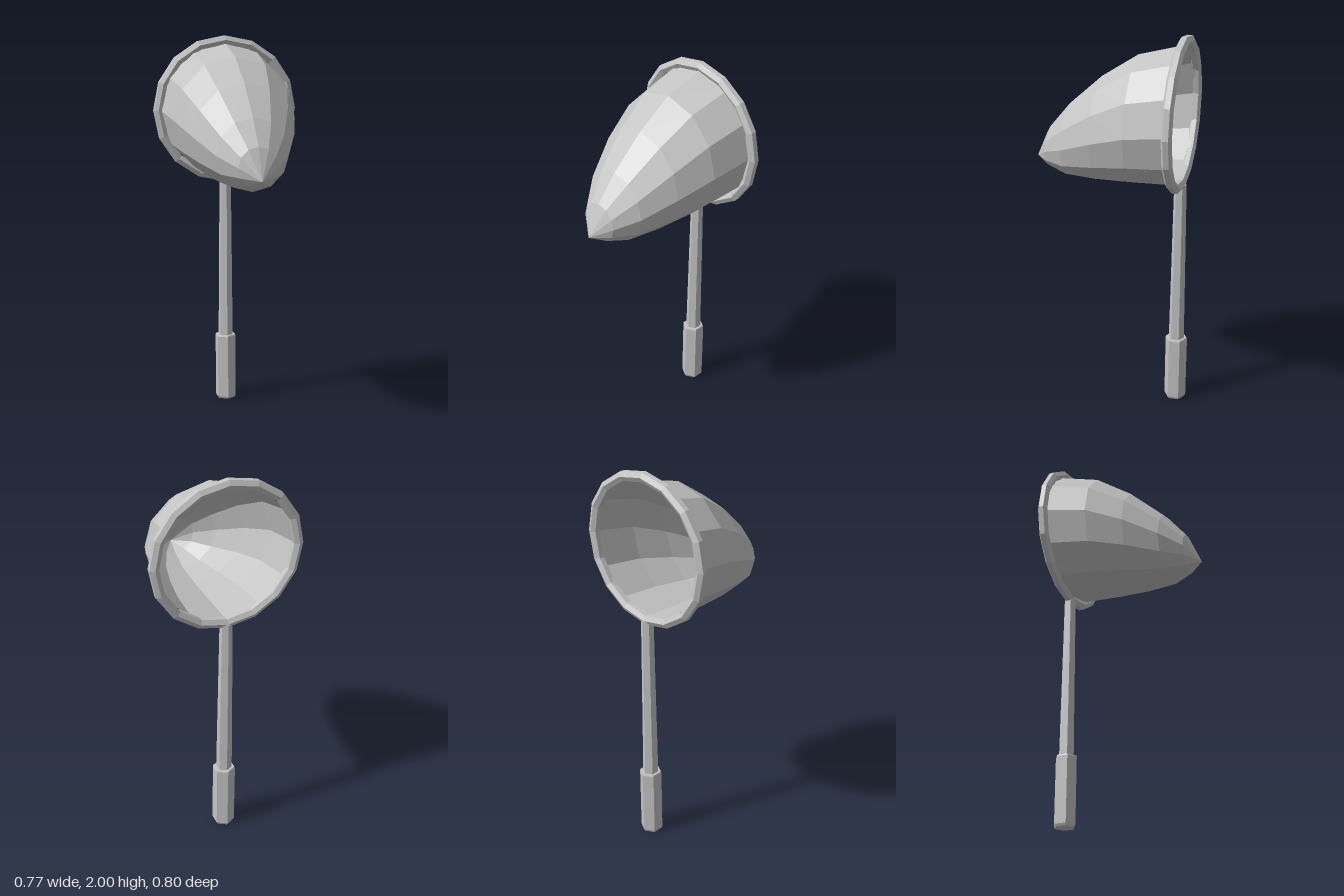
import * as THREE from 'three';

const HOOP_Y = 1.613, HOOP_Z = -0.346;

export function createModel() {
  const group = new THREE.Group();
  group.name = 'handNet';

  const grey = new THREE.MeshStandardMaterial({ color: 0xc4c4c4, flatShading: true, side: THREE.DoubleSide });
  grey.name = 'plain grey';

  const add = (name, geometry, x, y, z) => {
    const mesh = new THREE.Mesh(geometry, grey);
    mesh.name = name;
    mesh.position.set(x, y, z);
    group.add(mesh);
  };

  // Hoop: hexagonal section swept round 16 sides
  const section = [];
  for (let i = 0; i <= 6; i++) {
    const a = -Math.PI / 6 + (i * Math.PI) / 3;
    section.push(new THREE.Vector2(0.364 + 0.0268 * Math.cos(a), 0.0268 * Math.sin(a)));
  }
  add('hoop', new THREE.LatheGeometry(section, 16).rotateX(Math.PI / 2), 0, HOOP_Y, HOOP_Z);

  // Net bag: 12-sided rings that shrink and sag towards the tip
  add('netBag', bagGeometry(), 0, 0, 0);

  // Handle: tapered six-sided shaft and a thicker grip with a bevelled end
  add('shaft', new THREE.CylinderGeometry(0.032, 0.041, 0.905, 6), 0, 0.7925, HOOP_Z);
  const grip = [[0, 0], [0.052, 0], [0.058, 0.012], [0.058, 0.358], [0.055, 0.365], [0, 0.365]];
  add('grip', new THREE.LatheGeometry(grip.map(([r, y]) => new THREE.Vector2(r, y)), 6), 0, 0, HOOP_Z);

  return group;
}

function bagGeometry() {
  const sides = 12;
  // z, centre height, radius
  const rings = [
    [HOOP_Z, HOOP_Y, 0.348],
    [-0.125, 1.578, 0.322],
    [0.057, 1.514, 0.264],
    [0.225, 1.438, 0.184],
    [0.33, 1.39, 0.101],
    [0.4, 1.33, 0],
  ];
  const positions = [], indices = [];
  for (const [z, y, r] of rings) {
    for (let j = 0; j < sides; j++) {
      const t = (j / sides) * Math.PI * 2;
      positions.push(r * Math.sin(t), y + r * Math.cos(t), z);
    }
  }
  for (let i = 0; i < rings.length - 1; i++) {
    for (let j = 0; j < sides; j++) {
      const a = i * sides + j, b = i * sides + ((j + 1) % sides);
      const c = a + sides, d = b + sides;
      indices.push(a, c, b);
      if (rings[i + 1][2] > 0) indices.push(b, c, d);
    }
  }
  const geometry = new THREE.BufferGeometry();
  geometry.setAttribute('position', new THREE.Float32BufferAttribute(positions, 3));
  geometry.setIndex(indices);
  geometry.computeVertexNormals();
  return geometry;
}
